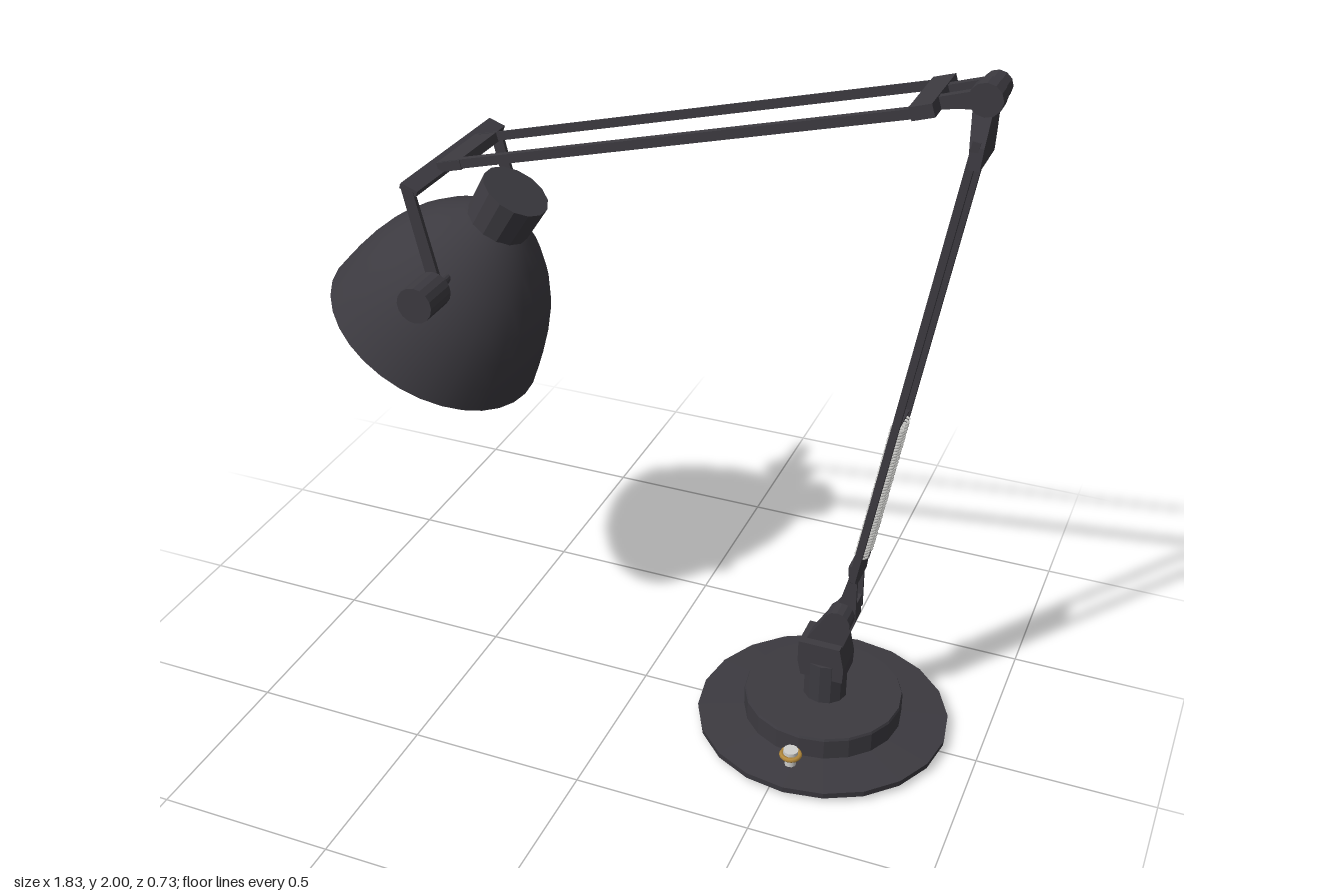
import * as THREE from 'three';

const Z0 = -0.007; // centre plane of the lamp

export function createModel() {
  const lamp = new THREE.Group();
  lamp.name = 'deskLamp';

  const mat = (name, color, opts = {}) => {
    const m = new THREE.MeshStandardMaterial({ color, ...opts });
    m.name = name;
    return m;
  };
  const dark = mat('darkMetal', 0x3c3a40, { flatShading: true });
  const shadeMat = mat('shadeMetal', 0x3c3a40, { side: THREE.DoubleSide });
  const steel = mat('steel', 0xcfcfcc);
  const brass = mat('brass', 0xb58a3c);

  const add = (name, geo, material, x = 0, y = 0, z = 0, parent = lamp) => {
    const m = new THREE.Mesh(geo, material);
    m.name = name;
    m.position.set(x, y, z);
    parent.add(m);
    return m;
  };

  // Straight bar between two points of the xy plane
  const bar = (name, [ax, ay], [bx, by], h, d, z, material = dark) => {
    const geo = new THREE.BoxGeometry(Math.hypot(bx - ax, by - ay), h, d);
    const m = add(name, geo, material, (ax + bx) / 2, (ay + by) / 2, z);
    m.rotation.z = Math.atan2(by - ay, bx - ax);
    return m;
  };
  // Cylinder lying along z from z1 to z2
  const pin = (name, x, y, z1, z2, r, material = dark, sides = 14) => {
    const m = add(name, new THREE.CylinderGeometry(r, r, Math.abs(z2 - z1), sides), material, x, y, (z1 + z2) / 2);
    m.rotation.x = Math.PI / 2;
    return m;
  };
  const extrude = (points, depth) => new THREE.ExtrudeGeometry(
    new THREE.Shape(points.map(p => new THREE.Vector2(...p))), { depth, bevelEnabled: false }).translate(0, 0, -depth / 2);
  // Outline in the xy plane, thickened along z
  const plate = (name, points, depth, z) => add(name, extrude(points, depth), dark, 0, 0, z);
  const lathe = (pts, sides) => new THREE.LatheGeometry(pts.map(p => new THREE.Vector2(...p)), sides);

  // Base with its raised disc
  add('base', lathe([[0, 0.003], [0.3, 0.003], [0.356, 0.018], [0.358, 0.036], [0.225, 0.046],
    [0.225, 0.105], [0.222, 0.112], [0, 0.112]], 20), dark, 0.545, 0, -0.01);
  const cord = add('cordOutlet', new THREE.ConeGeometry(0.02, 0.07, 8), dark, 0.545, 0.08, -0.255);
  cord.rotation.x = -Math.PI / 2;

  // Switch on the base
  add('switchRing', new THREE.TorusGeometry(0.025, 0.007, 6, 16).rotateX(Math.PI / 2), brass, 0.545, 0.103, 0.285);
  add('switchButton', new THREE.CylinderGeometry(0.021, 0.021, 0.024, 12), steel, 0.545, 0.107, 0.285);
  add('switchStem', new THREE.CylinderGeometry(0.016, 0.016, 0.03, 10), steel, 0.545, 0.085, 0.285);

  // Post and tilting neck
  add('post', new THREE.CylinderGeometry(0.062, 0.062, 0.13, 12), dark, 0.55, 0.17, Z0);
  plate('postHead', [[0.49, 0.19], [0.612, 0.19], [0.614, 0.235], [0.6, 0.3], [0.48, 0.3], [0.48, 0.235]], 0.105, Z0);
  plate('neck', [[0.49, 0.29], [0.6, 0.29], [0.632, 0.39], [0.632, 0.45], [0.592, 0.45], [0.55, 0.39]], 0.055, Z0);
  for (const z of [0.025, -0.038])
    plate('neckFork', [[0.575, 0.41], [0.634, 0.41], [0.632, 0.56], [0.62, 0.58]], 0.009, z);
  pin('neckKnob', 0.595, 0.413, 0.02, 0.08, 0.038);
  pin('neckBolt', 0.595, 0.413, -0.03, -0.052, 0.02, steel);

  // Lower arm
  const armFoot = [0.625, 0.55], armTop = [0.853, 1.85];
  const onArm = y => [armFoot[0] + (y - armFoot[1]) * (armTop[0] - armFoot[0]) / (armTop[1] - armFoot[1]), y];
  for (const s of [1, -1]) bar('lowerArmRod', armFoot, armTop, 0.02, 0.014, Z0 + s * 0.064);

  // Brackets, drawn across the arm, thickened along x and tapering with height
  const bracket = (name, pts, x, thickness) => {
    const geo = extrude(pts, 1).rotateY(Math.PI / 2);
    const p = geo.attributes.position;
    for (let i = 0; i < p.count; i++) p.setX(i, p.getX(i) * thickness(p.getY(i)));
    return add(name, geo, dark, x, 0, Z0);
  };
  bracket('lowerBracket', [[-0.045, 0.53], [0.045, 0.53], [0.07, 0.575], [0.07, 0.6], [-0.07, 0.6], [-0.07, 0.575]],
    0.625, () => 0.02);
  bracket('upperBracket', [[-0.075, 1.78], [0.075, 1.78], [0.065, 1.835], [0.035, 1.94], [-0.03, 1.94], [-0.07, 1.835]],
    0.854, y => 0.026 + (y - 1.78) * 0.17);

  // Twin coil springs beside the lower arm
  class Coil extends THREE.Curve {
    getPoint(t, out = new THREE.Vector3()) {
      const a = t * 44 * Math.PI * 2;
      const [x, y] = onArm(0.61 + t * 0.42);
      return out.set(x + Math.cos(a) * 0.017, y, Math.sin(a) * 0.017);
    }
  }
  const coil = new THREE.TubeGeometry(new Coil(), 528, 0.0036, 5);
  for (const s of [1, -1]) {
    add('spring', coil, steel, 0, 0, Z0 + s * 0.022);
    bar('springHook', onArm(0.585), onArm(0.62), 0.006, 0.006, Z0 + s * 0.022, steel);
  }
  bar('springAnchor', onArm(1.032), onArm(1.04), 0.012, 0.13, Z0);

  // Elbow joint
  pin('elbowKnob', 0.868, 1.96, 0.03, 0.08, 0.042, dark, 12);
  pin('elbowHub', 0.868, 1.957, -0.045, 0.03, 0.036, dark, 12);
  pin('elbowBolt', 0.868, 1.965, -0.045, -0.062, 0.02, steel);
  for (const z of [0.035, -0.052])
    plate('elbowPlate', [[0.7, 1.9], [0.8, 1.918], [0.875, 1.925], [0.885, 1.965], [0.84, 1.968], [0.7, 1.925]], 0.022, z);
  bar('elbowCrossbar', [0.7, 1.91], [0.755, 1.927], 0.034, 0.225, -0.01);

  // Upper arm: one square rod and one thin strip
  bar('upperArmRod', [0.73, 1.917], [-0.535, 1.588], 0.025, 0.02, 0.09);
  bar('upperArmStrip', [0.73, 1.917], [-0.535, 1.588], 0.025, 0.004, -0.115);

  // Yoke that carries the shade
  bar('headCrossbar', [-0.55, 1.582], [-0.482, 1.6], 0.026, 0.225, -0.01);
  bar('yokeBar', [-0.582, 1.582], [-0.535, 1.565], 0.016, 0.505, Z0);
  for (const s of [1, -1])
    plate('yokeArm', [[-0.582, 1.585], [-0.545, 1.57], [-0.478, 1.31], [-0.512, 1.3]], 0.012, Z0 + s * 0.248);
  pin('shadeKnob', -0.495, 1.308, 0.257, 0.365, 0.05, dark, 16);
  pin('shadeKnobSmall', -0.495, 1.308, -0.27, -0.308, 0.042, dark, 16);
  // Pale washers beside the knobs, on dark pivots
  for (const [a, b] of [[0.232, 0.257], [-0.247, -0.27]]) pin('shadeWasher', -0.495, 1.308, a, b, 0.024, steel);
  for (const [a, b] of [[0.17, 0.232], [-0.18, -0.247]]) pin('shadePivot', -0.495, 1.308, a, b, 0.014);

  // Shade, tilted on its axis, open at the rim
  const head = new THREE.Group();
  head.name = 'shadeHead';
  head.position.set(-0.645, 1.045, Z0);
  head.rotation.z = -Math.atan2(0.506, 0.862);
  lamp.add(head);
  add('shade', lathe([[0.317, 0], [0.303, 0.07], [0.282, 0.145], [0.254, 0.22], [0.21, 0.295],
    [0.156, 0.36], [0.1, 0.41], [0.06, 0.43]], 32), shadeMat, 0, 0, 0, head);
  add('shadeNeck', new THREE.CylinderGeometry(0.096, 0.09, 0.125, 14), dark, 0, 0.465, 0, head);

  return lamp;
}
